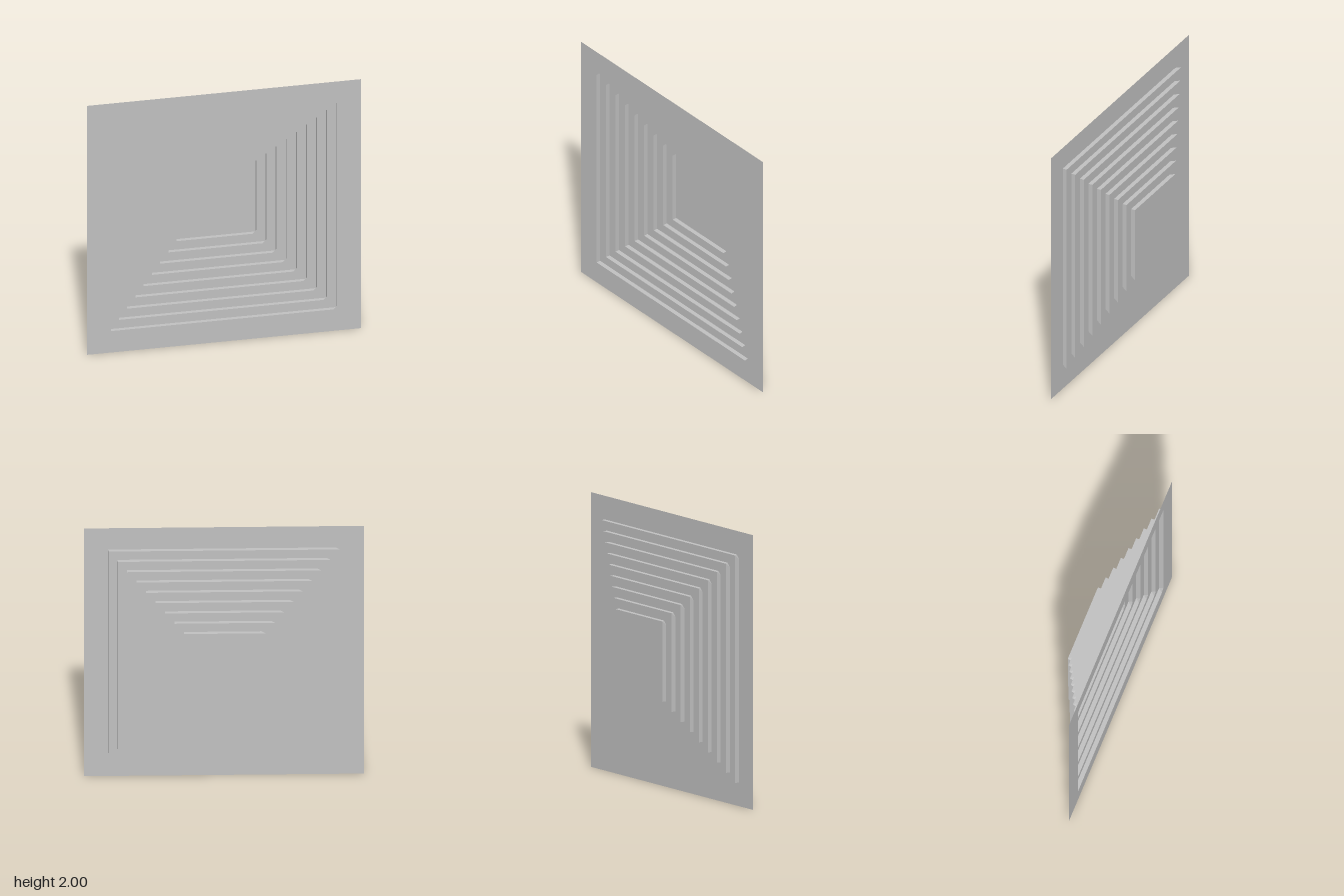
import * as THREE from 'three';

const STEPS = 9;
const OUTER = 0.828;      // half width of the largest opening
const INNER = 0.292;      // half width of the smallest opening
const FRONT_Z = 0.145;
const DEPTH = 0.29 / STEPS;
const CUT = 0.028;        // clipped corners

// Square opening with two opposite corners clipped, counter-clockwise
const clippedSquare = (h) => [
  [-h, -h], [h - CUT, -h], [h, CUT - h], [h, h], [CUT - h, h], [-h, h - CUT],
].map(([x, y]) => new THREE.Vector2(x, y));

// Full square with the clipped corners doubled, to pair with the opening
const fullSquare = (h) => [
  [-h, -h], [h, -h], [h, -h], [h, h], [-h, h], [-h, h],
].map(([x, y]) => new THREE.Vector2(x, y));

// Flat square sheet, optionally with a clipped opening
function sheet(h, holeHalf) {
  const shape = new THREE.Shape([[-h, -h], [h, -h], [h, h], [-h, h]].map(([x, y]) => new THREE.Vector2(x, y)));
  if (holeHalf) shape.holes.push(new THREE.Path(clippedSquare(holeHalf).reverse()));
  return new THREE.ShapeGeometry(shape);
}

// Walls running back from an opening to the square floor behind it
function walls(h) {
  const front = clippedSquare(h);
  const back = fullSquare(h);
  const positions = [];
  const add = (p, z) => positions.push(p.x, p.y, z);
  for (let i = 0; i < front.length; i++) {
    const j = (i + 1) % front.length;
    add(front[i], 0); add(front[j], 0); add(back[j], -DEPTH);
    if (back[i].equals(back[j])) continue; // a clipped corner is one triangle
    add(front[i], 0); add(back[j], -DEPTH); add(back[i], -DEPTH);
  }
  const geometry = new THREE.BufferGeometry();
  geometry.setAttribute('position', new THREE.Float32BufferAttribute(positions, 3));
  geometry.computeVertexNormals();
  return geometry;
}

export function createModel() {
  const model = new THREE.Group();
  model.name = 'steppedPanel';
  const grey = new THREE.MeshStandardMaterial({ color: 0xc0c0c0, side: THREE.DoubleSide });
  grey.name = 'grey';

  const add = (name, geometry, z) => {
    const mesh = new THREE.Mesh(geometry, grey);
    mesh.name = name;
    mesh.position.set(0, 1, z);
    model.add(mesh);
  };
  const half = (i) => THREE.MathUtils.lerp(OUTER, INNER, i / (STEPS - 1));

  // Outer flange, then each step's walls and ledge down to the closed floor
  add('flange', sheet(1, OUTER), FRONT_Z);
  for (let i = 0; i < STEPS; i++) {
    const last = i === STEPS - 1;
    add(`stepWalls${i + 1}`, walls(half(i)), FRONT_Z - i * DEPTH);
    add(last ? 'floor' : `ledge${i + 1}`, sheet(half(i), last ? 0 : half(i + 1)), FRONT_Z - (i + 1) * DEPTH);
  }
  return model;
}
